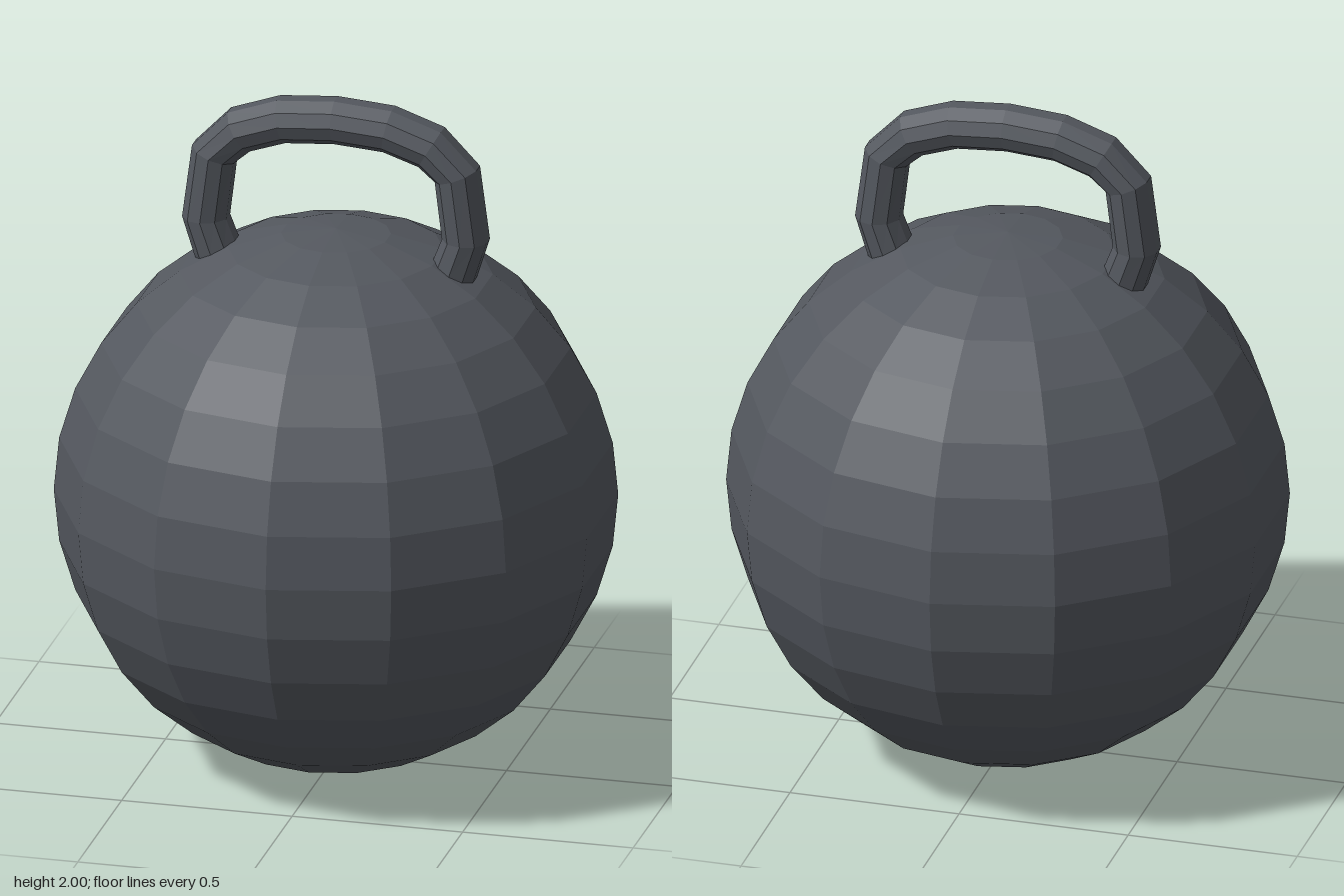
import * as THREE from 'three';

// Sweeps a flat-shaded elliptical ring along a path lying in the XY plane.
function sweepInPlane(path, sides, radius, depth) {
  const positions = [];
  const indices = [];
  path.forEach((p, i) => {
    const before = path[Math.max(i - 1, 0)];
    const after = path[Math.min(i + 1, path.length - 1)];
    const tangent = after.clone().sub(before).normalize();
    for (let j = 0; j < sides; j++) {
      const a = (j / sides) * Math.PI * 2;
      const out = Math.sin(a) * radius;
      positions.push(p.x - tangent.y * out, p.y + tangent.x * out, Math.cos(a) * depth);
    }
  });
  for (let i = 0; i < path.length - 1; i++) {
    for (let j = 0; j < sides; j++) {
      const a = i * sides + j;
      const b = i * sides + ((j + 1) % sides);
      indices.push(a, a + sides, b, b, a + sides, b + sides);
    }
  }
  const geometry = new THREE.BufferGeometry();
  geometry.setAttribute('position', new THREE.Float32BufferAttribute(positions, 3));
  geometry.setIndex(indices);
  geometry.computeVertexNormals();
  return geometry;
}

export function createModel() {
  const group = new THREE.Group();
  group.name = 'kettlebell';

  const iron = new THREE.MeshStandardMaterial({ color: 0x54585f, flatShading: true });
  iron.name = 'dark iron';
  iron.side = THREE.DoubleSide;

  // Faceted ball with an edge line facing the front
  const ball = new THREE.Mesh(new THREE.SphereGeometry(0.802, 14, 16).rotateY(Math.PI / 2), iron);
  ball.name = 'ball';
  ball.position.y = 0.804;
  group.add(ball);

  // Handle arch, mirrored from its left half, with ends sunk into the ball
  const half = [[0.31, 1.41], [0.35, 1.52], [0.381, 1.61], [0.356, 1.805], [0.28, 1.88], [0.156, 1.923]];
  const path = [
    ...half.map(([x, y]) => new THREE.Vector2(-x, y)),
    new THREE.Vector2(0, 1.935),
    ...half.slice().reverse().map(([x, y]) => new THREE.Vector2(x, y)),
  ];
  const handle = new THREE.Mesh(sweepInPlane(path, 10, 0.068, 0.074), iron);
  handle.name = 'handle';
  group.add(handle);

  return group;
}
